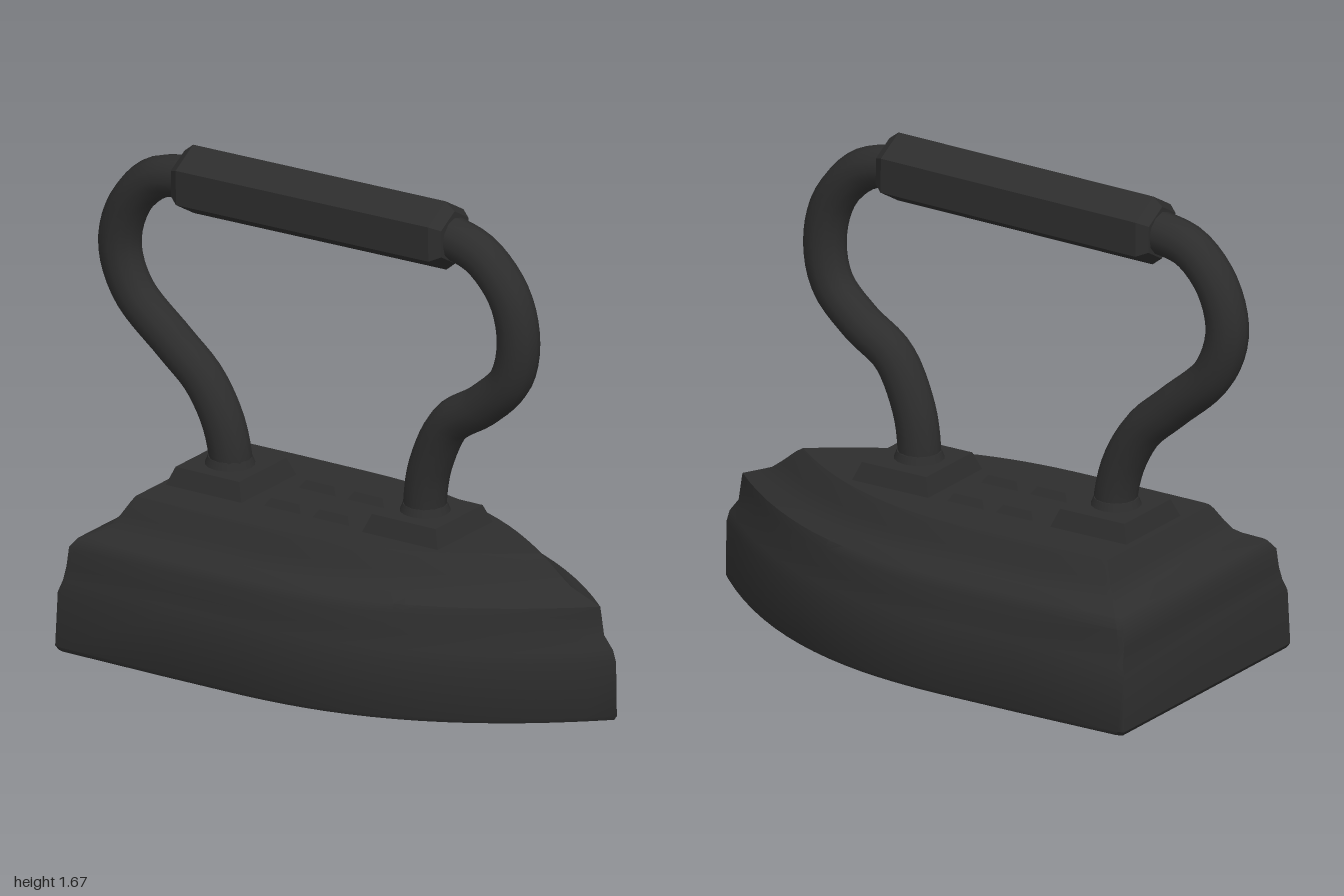
import * as THREE from 'three';
import { toCreasedNormals } from 'three/addons/utils/BufferGeometryUtils.js';

// Flat-backed, pointed outline, from the back +z corner round the tip to the back -z corner
function outline(back, tip, half) {
  const start = -0.2, n = 16, side = [[back, half * 0.975], [back + 0.02, half * 0.99], [-0.45, half]];
  for (let i = 0; i < n; i++) {
    const t = i / n;
    side.push([start + (tip - start) * t, half * (1 - Math.pow(t, 2.35))]);
  }
  return [...side, [tip, 0], ...side.reverse().map(([x, z]) => [x, -z])];
}

// Stack of outlines joined into a closed solid; each level is [y, back, tip, halfWidth]
function loft(levels) {
  const pos = [], idx = [];
  let n = 0;
  for (const [y, back, tip, half] of levels) {
    const ring = outline(back, tip, half);
    n = ring.length;
    ring.forEach(([x, z]) => pos.push(x, y, z));
  }
  const last = (levels.length - 1) * n, low = levels.length * n, high = low + 1;
  pos.push(0, levels[0][0], 0, 0, levels[levels.length - 1][0], 0);
  for (let i = 0; i < n; i++) {
    const j = (i + 1) % n;
    for (let r = 0; r < last; r += n) idx.push(r + i, r + j, r + n + j, r + i, r + n + j, r + n + i);
    idx.push(low, j, i, high, last + i, last + j);
  }
  const geo = new THREE.BufferGeometry();
  geo.setAttribute('position', new THREE.Float32BufferAttribute(pos, 3));
  geo.setIndex(idx);
  return toCreasedNormals(geo, 0.6);
}

// Box whose upper face is drawn in by an inset
function taperedBox(w, h, d, inset) {
  const geo = new THREE.BoxGeometry(w, h, d).toNonIndexed();
  const p = geo.attributes.position;
  for (let i = 0; i < p.count; i++) {
    if (p.getY(i) > 0) {
      p.setX(i, p.getX(i) - Math.sign(p.getX(i)) * inset);
      p.setZ(i, p.getZ(i) - Math.sign(p.getZ(i)) * inset);
    }
  }
  geo.computeVertexNormals();
  return geo;
}

export function createModel() {
  const group = new THREE.Group();
  const iron = new THREE.MeshStandardMaterial({ color: 0x2d2d2d });
  iron.name = 'castIron';
  const add = (name, geo, x = 0, y = 0, z = 0) => {
    const mesh = new THREE.Mesh(geo, iron);
    mesh.name = name;
    mesh.position.set(x, y, z);
    group.add(mesh);
    return mesh;
  };

  // Stepped body
  add('body', loft([
    [0, -0.86, 0.99, 0.493], [0.015, -0.87, 1.0, 0.5], [0.2, -0.865, 0.997, 0.492],
    [0.24, -0.852, 0.985, 0.48], [0.285, -0.848, 0.95, 0.466], [0.35, -0.842, 0.94, 0.46],
    [0.38, -0.82, 0.935, 0.44], [0.405, -0.77, 0.87, 0.39], [0.425, -0.735, 0.82, 0.365],
    [0.455, -0.715, 0.78, 0.345], [0.5, -0.69, 0.725, 0.32], [0.515, -0.68, 0.7, 0.308],
  ]));

  // Mounting pads and collars under the handle
  for (const [name, x, px] of [['rear', -0.51, -0.51], ['front', 0.255, 0.26]]) {
    add(name + 'Pad', taperedBox(0.3, 0.065, 0.32, 0.025), px, 0.5425, 0.005);
    add(name + 'Collar', new THREE.CylinderGeometry(0.073, 0.085, 0.03, 16), x, 0.585, 0.01);
  }

  // Plain raised ornaments between the pads
  for (const x of [-0.215, -0.025]) {
    for (const z of [-0.1, 0.1]) add('ornament', taperedBox(0.15, 0.03, 0.09, 0.02), x, 0.525, z);
  }

  // Curved handle arms, leaning slightly towards +z as they rise
  const arms = {
    rearArm: [[-0.505, 0.54], [-0.51, 0.62], [-0.54, 0.73], [-0.61, 0.85], [-0.72, 0.95], [-0.88, 1.1],
      [-0.93, 1.25], [-0.89, 1.4], [-0.785, 1.51], [-0.66, 1.54], [-0.6, 1.54]],
    frontArm: [[0.255, 0.54], [0.257, 0.62], [0.28, 0.74], [0.36, 0.9], [0.49, 0.99], [0.6, 1.1],
      [0.633, 1.24], [0.6, 1.39], [0.495, 1.51], [0.38, 1.55], [0.32, 1.55]],
  };
  for (const [name, pts] of Object.entries(arms)) {
    const path = new THREE.CatmullRomCurve3(
      pts.map(([x, y]) => new THREE.Vector3(x, y, 0.01 + 0.025 * (y - 0.54))));
    add(name, new THREE.TubeGeometry(path, 40, 0.071, 12));
  }

  // Six-sided grip with bevelled ends
  const profile = [[0, -0.53], [0.09, -0.53], [0.118, -0.495], [0.118, 0.495], [0.09, 0.53], [0, 0.53]];
  const grip = new THREE.LatheGeometry(profile.map(([r, y]) => new THREE.Vector2(r, y)), 6);
  grip.rotateY(Math.PI / 2).rotateZ(-Math.PI / 2);
  add('grip', toCreasedNormals(grip, 0.3), -0.14, 1.546, 0.037).rotation.z = 0.014;

  return group;
}
